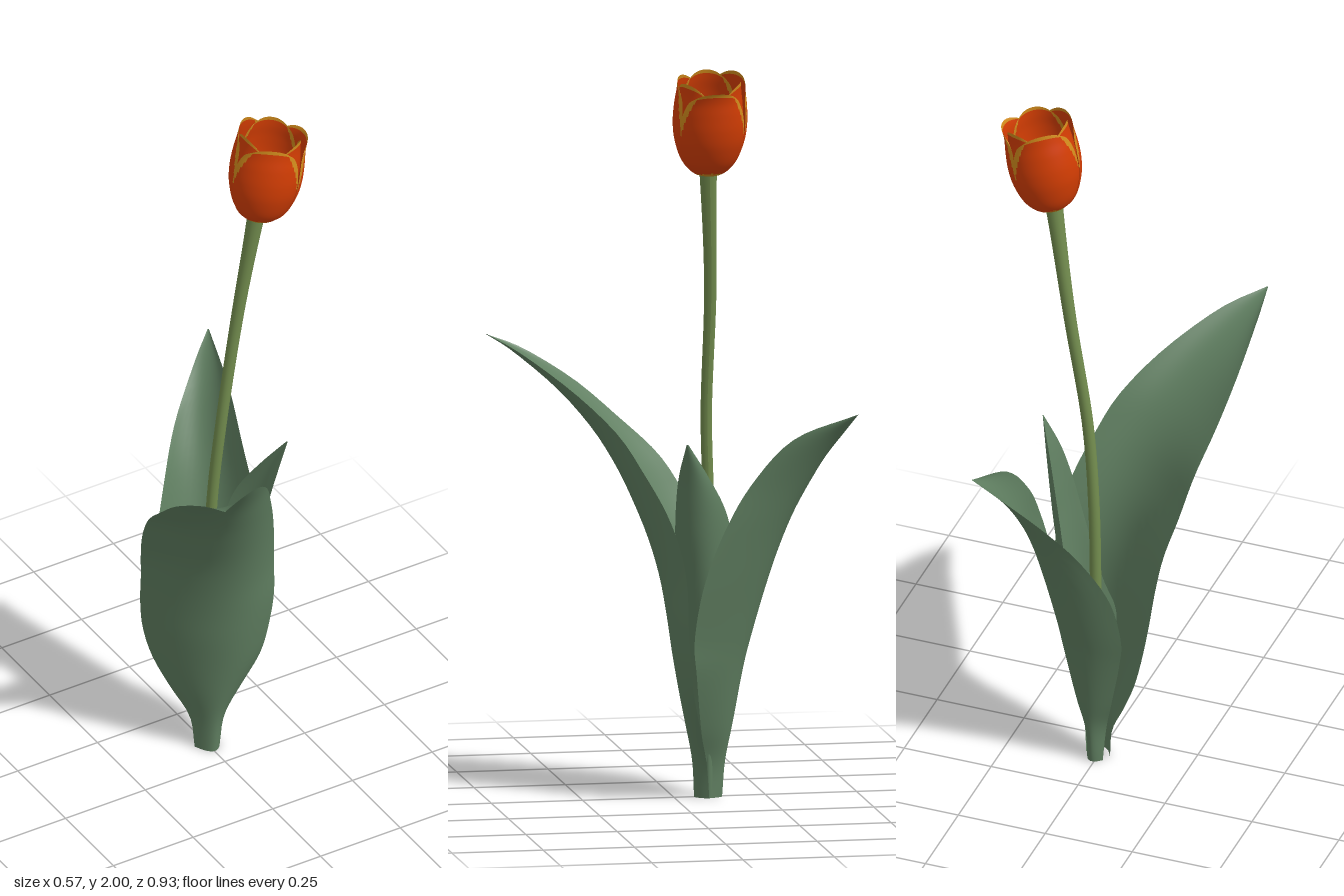
import * as THREE from 'three';

const mat = (name, color) => {
  const m = new THREE.MeshStandardMaterial({ color, side: THREE.DoubleSide });
  m.name = name;
  return m;
};

// Grid surface from fn(u, v) -> [x, y, z]; pick(u, v) chooses the material index per cell
function surface(name, nu, nv, fn, mats, pick = () => 0) {
  const pos = [], cells = mats.map(() => []);
  for (let j = 0; j <= nv; j++)
    for (let i = 0; i <= nu; i++) pos.push(...fn(i / nu, j / nv));
  for (let j = 0; j < nv; j++)
    for (let i = 0; i < nu; i++) {
      const a = j * (nu + 1) + i, b = a + nu + 1;
      cells[pick((i + 0.5) / nu, (j + 0.5) / nv)].push(a, a + 1, b + 1, a, b + 1, b);
    }
  const geo = new THREE.BufferGeometry();
  geo.setAttribute('position', new THREE.Float32BufferAttribute(pos, 3));
  geo.setIndex(cells.flat());
  let start = 0;
  cells.forEach((c, k) => { geo.addGroup(start, c.length, k); start += c.length; });
  geo.computeVertexNormals();
  const mesh = new THREE.Mesh(geo, mats);
  mesh.name = name;
  return mesh;
}

// Leaf from cross-sections: [y, edge x, z, midrib x, z, other edge x, z]
function leaf(name, rows, material) {
  const curves = [1, 3, 5].map(k => new THREE.CatmullRomCurve3(
    rows.map(r => new THREE.Vector3(r[k], r[0], r[k + 1])), false, 'catmullrom', 0.5));
  return surface(name, 16, 44, (u, v) => {
    const [l, m, r] = curves.map(c => c.getPoint(v));
    // parabola through both edges and the midrib
    const p = l.multiplyScalar((1 - u) * (1 - 2 * u))
      .addScaledVector(m, 4 * u * (1 - u)).addScaledVector(r, u * (2 * u - 1));
    return p.toArray();
  }, [material]);
}

export function createModel() {
  const green = mat('leaf green', 0x5f7e60);
  const stemGreen = mat('stem green', 0x728c4e);
  const pistilGreen = mat('pistil green', 0x6a8758);
  const orange = mat('petal orange', 0xd33d03);
  const yellow = mat('petal yellow', 0xd08a1c);
  const group = new THREE.Group();
  group.name = 'tulip';

  // Three leaves wrapping the stem
  group.add(leaf('largeFrontLeaf', [
    [0, -0.035, -0.1, 0, -0.055, 0.037, -0.09],
    [0.1, -0.045, -0.11, 0, -0.05, 0.048, -0.08],
    [0.2, -0.09, -0.14, -0.005, -0.035, 0.09, -0.055],
    [0.3, -0.13, -0.165, -0.01, -0.02, 0.13, -0.03],
    [0.4, -0.155, -0.172, -0.015, -0.004, 0.15, -0.018],
    [0.5, -0.17, -0.16, -0.015, 0.012, 0.16, -0.01],
    [0.6, -0.18, -0.14, -0.02, 0.032, 0.158, -0.007],
    [0.7, -0.195, -0.115, -0.03, 0.06, 0.148, 0.01],
    [0.8, -0.22, -0.065, -0.05, 0.098, 0.124, 0.045],
    [0.9, -0.24, 0, -0.08, 0.143, 0.085, 0.098],
    [1.0, -0.265, 0.105, -0.12, 0.205, 0.037, 0.16],
    [1.1, -0.282, 0.22, -0.175, 0.29, -0.05, 0.26],
    [1.19, -0.285, 0.36, -0.245, 0.395, -0.17, 0.38],
    [1.233, -0.277, 0.463, -0.275, 0.463, -0.272, 0.46]], green));

  group.add(leaf('backLeaf', [
    [0, -0.02, -0.115, 0.01, -0.13, 0.03, -0.1],
    [0.1, -0.028, -0.11, 0.015, -0.137, 0.038, -0.08],
    [0.2, -0.052, -0.135, 0.03, -0.152, 0.075, -0.06],
    [0.35, -0.085, -0.162, 0.045, -0.175, 0.12, -0.04],
    [0.45, -0.098, -0.185, 0.06, -0.195, 0.133, -0.032],
    [0.6, -0.08, -0.228, 0.085, -0.232, 0.15, -0.055],
    [0.75, -0.018, -0.29, 0.115, -0.275, 0.16, -0.11],
    [0.88, 0.06, -0.362, 0.148, -0.325, 0.166, -0.185],
    [1.0, 0.16, -0.428, 0.195, -0.38, 0.188, -0.295],
    [1.068, 0.223, -0.463, 0.225, -0.462, 0.226, -0.46]], green));

  group.add(leaf('smallSideLeaf', [
    [0, 0, -0.07, 0.033, -0.09, 0, -0.115],
    [0.2, -0.008, -0.06, 0.05, -0.085, -0.005, -0.125],
    [0.35, -0.023, -0.03, 0.075, -0.08, 0.015, -0.15],
    [0.43, -0.018, -0.013, 0.09, -0.075, 0.035, -0.162],
    [0.52, 0.025, -0.004, 0.103, -0.07, 0.052, -0.168],
    [0.7, 0.085, 0.012, 0.135, -0.06, 0.085, -0.145],
    [0.8, 0.115, 0.017, 0.152, -0.05, 0.11, -0.12],
    [0.9, 0.15, 0.015, 0.172, -0.03, 0.15, -0.065],
    [0.995, 0.195, 0.002, 0.196, 0, 0.195, -0.003]], green));

  // Leaning stem, flared under the flower
  const path = new THREE.CatmullRomCurve3([
    [0.005, 0, -0.092], [0.005, 0.4, -0.1], [0.014, 0.8, -0.092], [0.035, 1.05, -0.082],
    [0.088, 1.4, -0.083], [0.14, 1.745, -0.067]].map(p => new THREE.Vector3(...p)));
  group.add(surface('stem', 16, 48, (u, v) => {
    const c = path.getPoint(v), a = -u * Math.PI * 2, r = 0.0155 + 0.009 * v ** 8;
    return [c.x + r * Math.cos(a), c.y, c.z + r * Math.sin(a)];
  }, [stemGreen]));

  // Flower head, tilted with the stem
  const flower = new THREE.Group();
  flower.name = 'flowerHead';
  flower.position.set(0.144, 1.724, -0.066);
  flower.rotation.z = -0.16;
  group.add(flower);

  const profile = new THREE.SplineCurve([[0.01, 0], [0.045, 0.01], [0.075, 0.045],
    [0.094, 0.1], [0.1, 0.15], [0.098, 0.2], [0.093, 0.24], [0.091, 0.27]]
    .map(p => new THREE.Vector2(...p)));

  function petal(name, azimuth, scale, height, baseSpot, flare) {
    return surface(name, 40, 48, (u, v) => {
      const s = u * 2 - 1, p = profile.getPoint(v);
      const a = azimuth + s * 1.08 * (1 - 0.35 * v ** 6);
      const r = p.x * scale + s * 0.003 * v + flare * v ** 6 * (1 - s * s);
      const y = p.y * height * (1 - 0.1 * v * Math.abs(s) ** 2.2);
      return [r * Math.cos(a), y + (1 - scale) * 0.05, r * Math.sin(a)];
    }, [orange, yellow], (u, v) => {
      // yellow base, tapering side margins and upper rim
      const s = Math.abs(u * 2 - 1);
      const margin = s > 1 - 0.75 * Math.max(0, v - 0.5);
      return v < baseSpot - 0.05 * s || margin || v > 0.935 ? 1 : 0;
    });
  }
  const heights = [0.965, 0.985, 1.015], flares = [0.012, 0, 0];
  for (let k = 0; k < 3; k++) {
    const a = k * Math.PI * 2 / 3;
    flower.add(petal('outerPetal', a, 1, heights[k], 0.2, flares[k]));
    flower.add(petal('innerPetal', a + Math.PI / 3, 0.9, 0.98, 0.25, 0));
  }

  // Pistil
  const pistil = new THREE.Mesh(new THREE.CapsuleGeometry(0.022, 0.05, 8, 16), pistilGreen);
  pistil.name = 'pistil';
  pistil.position.set(-0.01, 0.05, 0);
  flower.add(pistil);

  return group;
}
